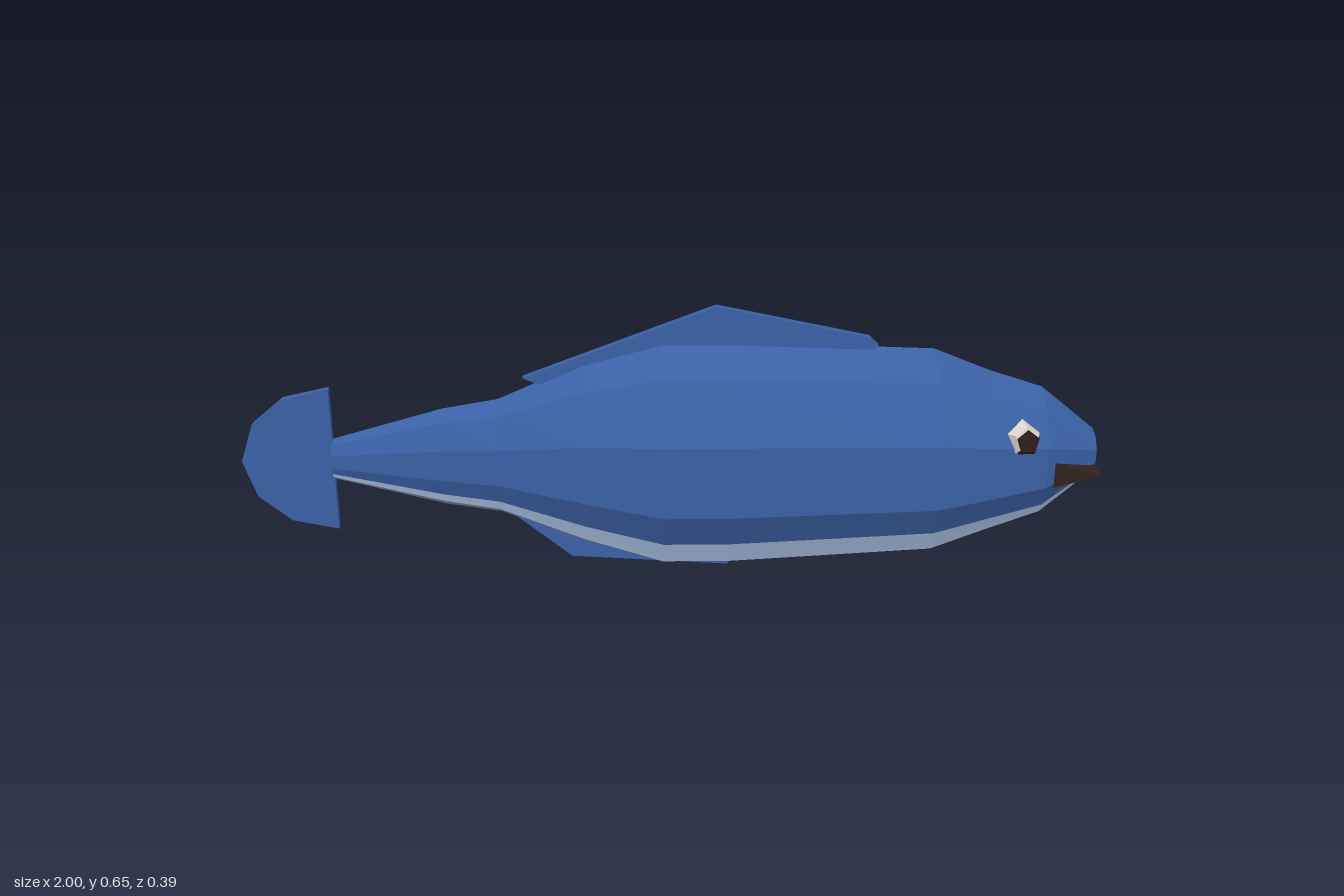
import * as THREE from 'three';
import { ConvexGeometry } from 'three/addons/geometries/ConvexGeometry.js';

const mat = (name, color) => {
  const m = new THREE.MeshStandardMaterial({ color, flatShading: true });
  m.name = name;
  return m;
};

const MID = 0.025; // z of the fish's centre plane
const RAD = Math.PI / 180;

// x, top, bottom, half width and belly line (0 = low, 1 = high) of each body ring
const STATIONS = [
  [-0.79, 0.337, 0.237, 0.024, 0.35],
  [-0.53, 0.41, 0.167, 0.06, 0.33],
  [-0.40, 0.432, 0.145, 0.08, 0.33],
  [-0.20, 0.52, 0.062, 0.137, 0.37],
  [-0.02, 0.567, 0.004, 0.179, 0.4],
  [0.13, 0.566, 0.002, 0.179, 0.4],
  [0.61, 0.544, 0.03, 0.175, 0.41],
  [0.74, 0.49, 0.081, 0.15, 0.36],
  [0.87, 0.446, 0.127, 0.121, 0.28],
  [1.00, 0.339, 0.235, 0.053, 0.3],
];

// Ten-sided ring with two extra points where the belly colour starts
function ring([x, top, bottom, rz, belly]) {
  const cy = (top + bottom) / 2, ry = (top - bottom) / 2;
  const at = (deg) => new THREE.Vector3(x, cy + ry * Math.cos(deg * RAD), MID + rz * Math.sin(deg * RAD));
  const half = [0, 36, 72, 108, 144, 180].map(at);
  half.splice(4, 0, half[4].clone().lerp(half[3], belly));
  const mirrored = half.slice(1, 6).reverse().map((p) => new THREE.Vector3(p.x, p.y, 2 * MID - p.z));
  return [...half, ...mirrored];
}

function trianglesToGeometry(points) {
  const g = new THREE.BufferGeometry().setFromPoints(points);
  g.computeVertexNormals();
  return g;
}

// Flat fin cut from an outline in the xy plane
function finGeometry(outline, thickness = 0.02) {
  const shape = new THREE.Shape(outline.map(([x, y]) => new THREE.Vector2(x, y)));
  const g = new THREE.ExtrudeGeometry(shape, { depth: thickness, bevelEnabled: false });
  return g.translate(0, 0, MID - thickness / 2);
}

export function createModel() {
  const blue = mat('blue scales', 0x3a60a4);
  const pale = mat('pale belly band', 0xaec6ea);
  const grey = mat('grey belly', 0x95a2b2);
  const brown = mat('dark mouth', 0x30221e);
  const white = mat('eye white', 0xdcd8cc);
  const black = mat('pupil', 0x2a1c18);

  const group = new THREE.Group();
  group.name = 'fish';
  const add = (name, geometry, material, parent = group) => {
    const m = new THREE.Mesh(geometry, material);
    m.name = name;
    parent.add(m);
    return m;
  };

  // Body skin, sorted into back, belly band and keel
  const skin = { back: [], band: [], keel: [] };
  const zone = (j) => (j === 5 || j === 6 ? 'keel' : j === 4 || j === 7 ? 'band' : 'back');
  const rings = STATIONS.map(ring);
  for (let i = 0; i < rings.length - 1; i++) {
    const a = rings[i], b = rings[i + 1];
    for (let j = 0; j < 12; j++) {
      const k = (j + 1) % 12;
      skin[zone(j)].push(a[j], a[k], b[k], a[j], b[k], b[j]);
    }
  }
  // Flat snout and tail root
  const cap = (pts, order, target, flip) => {
    for (let i = 1; i < order.length - 1; i++) {
      const [p, q, r] = [pts[order[0]], pts[order[i]], pts[order[i + 1]]];
      target.push(p, flip ? r : q, flip ? q : r);
    }
  };
  for (const [pts, flip] of [[rings[rings.length - 1], false], [rings[0], true]]) {
    cap(pts, [8, 9, 10, 11, 0, 1, 2, 3, 4], skin.back, flip);
    cap(pts, [4, 5, 6, 7, 8], skin.band, flip);
  }
  add('bodyBack', trianglesToGeometry(skin.back), blue);
  add('bellyBand', trianglesToGeometry(skin.band), pale);
  add('bellyKeel', trianglesToGeometry(skin.keel), grey);

  // Half-round tail fin
  add('tailFin', finGeometry([
    [-0.787, 0.464], [-0.895, 0.44], [-0.97, 0.377], [-1, 0.287],
    [-0.97, 0.197], [-0.895, 0.134], [-0.787, 0.11],
  ]), blue);

  // Dorsal and ventral fins
  add('dorsalFin', finGeometry([
    [-0.34, 0.486], [-0.28, 0.46], [0.1, 0.5], [0.42, 0.51], [0.48, 0.555], [0.46, 0.575], [0.105, 0.653],
  ]), blue);
  add('ventralFin', finGeometry([
    [-0.37, 0.14], [-0.235, 0.028], [0.14, 0], [0.12, 0.05], [-0.2, 0.12],
  ]), blue);

  // Single pectoral fin on the far side
  add('pectoralFin', new ConvexGeometry([
    [0.5, 0.235, -0.148], [0.35, 0.302, -0.157], [0.385, 0.228, -0.195],
    [0.36, 0.218, -0.179], [0.36, 0.215, -0.14], [0.35, 0.3, -0.14],
  ].map((p) => new THREE.Vector3(...p))), blue);

  // Mouth: a wedge running through the snout
  add('mouth', finGeometry([[0.89, 0.235], [1, 0.264], [0.89, 0.295]], 0.22), brown);

  // Five-sided eyes, leaning with the cheeks
  for (const side of [1, -1]) {
    const eye = new THREE.Group();
    eye.name = side > 0 ? 'rightEye' : 'leftEye';
    eye.position.set(0.808, 0.364, MID + side * 0.122);
    eye.rotation.set(-0.28 * side, 0.2 * side, 0);
    const disc = (top, base, depth) => new THREE.CylinderGeometry(top, base, depth, 5)
      .rotateY(Math.PI).rotateX(side * Math.PI / 2);
    add('eyeWhite', disc(0.03, 0.046, 0.03), white, eye);
    add('pupil', disc(0.026, 0.034, 0.016), black, eye).position.set(0.002, -0.006, side * 0.013);
    group.add(eye);
  }
  return group;
}
